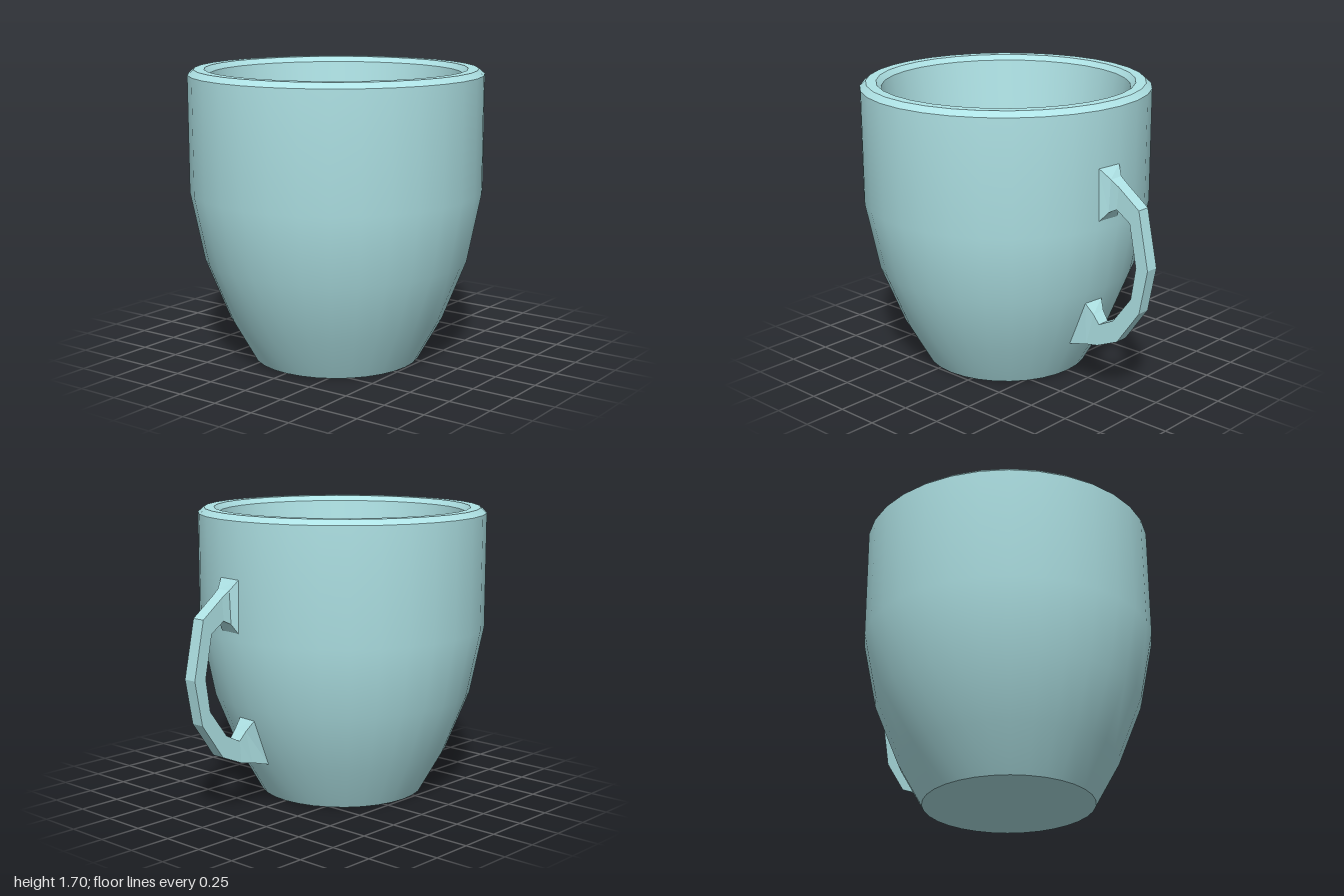
import * as THREE from 'three';
import { toCreasedNormals } from 'three/addons/utils/BufferGeometryUtils.js';

const BODY_Z = 0.15;

// Quads between successive four-cornered sections:
// [outerZ, outerY, innerZ, innerY, leftX, rightX, forward shift of the right side]
function loftHandle(sections) {
  const positions = [];
  const rings = sections.map(([oz, oy, iz, iy, x0, x1, skew = 0]) => [
    [x0, oy, oz], [x1, oy, oz + skew], [x1, iy, iz + skew], [x0, iy, iz],
  ]);
  for (let i = 0; i < rings.length - 1; i++) {
    for (let k = 0; k < 4; k++) {
      const n = (k + 1) % 4;
      const a = rings[i][k], b = rings[i][n], c = rings[i + 1][n], d = rings[i + 1][k];
      positions.push(...a, ...b, ...c, ...a, ...c, ...d);
    }
  }
  const geometry = new THREE.BufferGeometry();
  geometry.setAttribute('position', new THREE.Float32BufferAttribute(positions, 3));
  geometry.computeVertexNormals();
  return geometry;
}

export function createModel() {
  const model = new THREE.Group();
  model.name = 'mug';
  const glaze = new THREE.MeshStandardMaterial({ color: 0xafe3e6 });
  glaze.name = 'pale teal glaze';

  // Cup: base, outer wall, bevelled rim, straight tapered inner wall and floor
  const profile = [
    [0, 0], [0.49, 0], [0.63, 0.25], [0.77, 0.6], [0.85, 1], [0.85, 1.67],
    [0.815, 1.7], [0.755, 1.7], [0.725, 1.67], [0.52, 0.2], [0, 0.2],
  ].map(([r, y]) => new THREE.Vector2(r, y));
  const cup = new THREE.Mesh(toCreasedNormals(new THREE.LatheGeometry(profile, 32), 0.6), glaze);
  cup.name = 'cup';
  cup.position.z = BODY_Z;
  model.add(cup);

  // Handle: angular loop whose ends flare to meet one facet of the wall
  const handle = new THREE.Mesh(loftHandle([
    [-0.697, 1.35, -0.69, 1.03, 0, 0.16, 0.016],
    [-0.74, 1.29, -0.73, 1.1, 0.033, 0.125],
    [-0.79, 1.255, -0.78, 1.125, 0.038, 0.118],
    [-0.93, 1.15, -0.87, 1.065, 0.038, 0.118],
    [-1, 0.82, -0.92, 0.82, 0.038, 0.118],
    [-0.95, 0.56, -0.89, 0.63, 0.038, 0.118],
    [-0.8, 0.35, -0.77, 0.47, 0.038, 0.118],
    [-0.66, 0.29, -0.67, 0.42, 0.038, 0.118],
    [-0.58, 0.275, -0.63, 0.47, 0.03, 0.118],
    [-0.478, 0.25, -0.59, 0.53, 0, 0.13, 0.014],
  ]), glaze);
  handle.name = 'handle';
  model.add(handle);

  return model;
}
